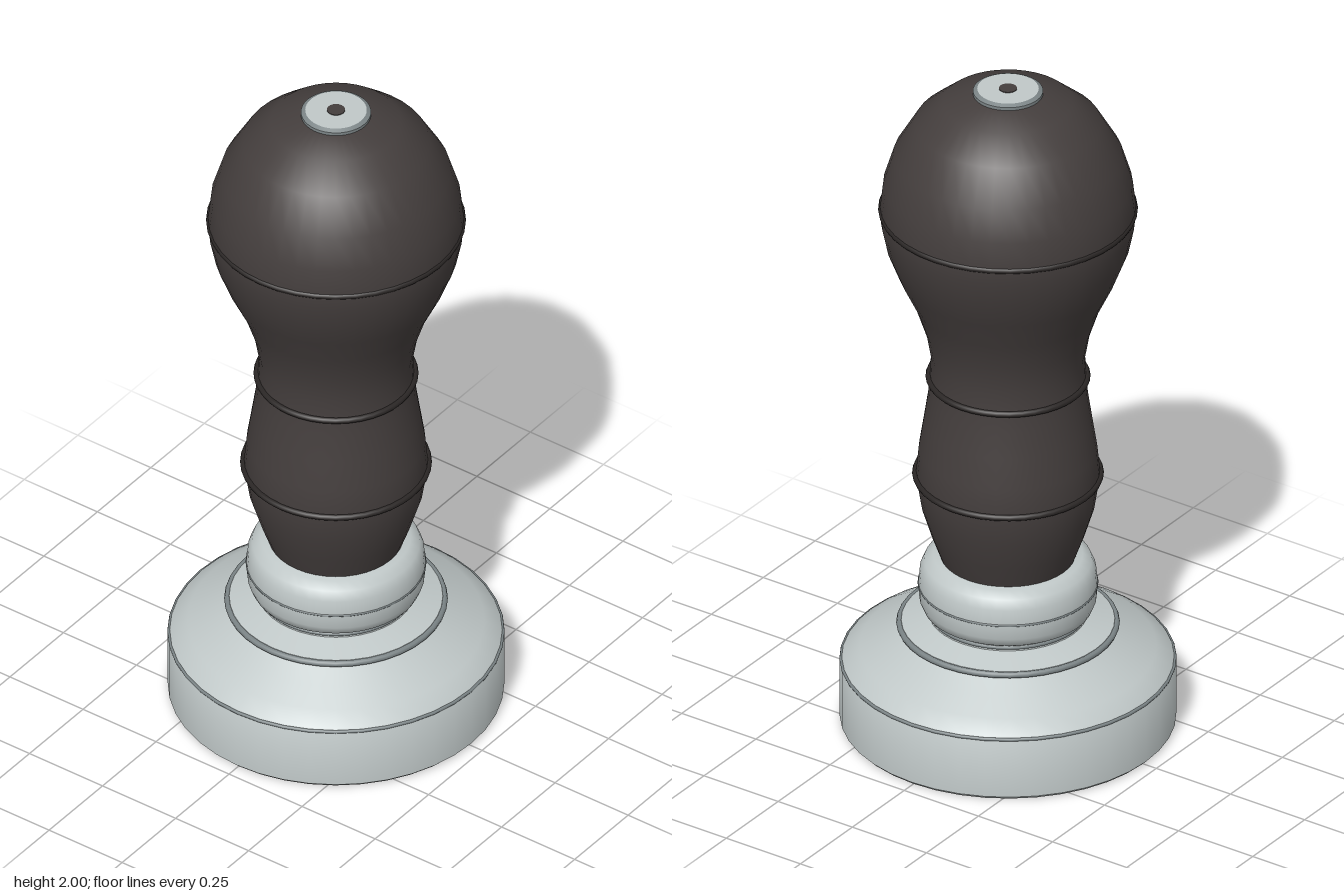
import * as THREE from 'three';
import { toCreasedNormals } from 'three/addons/utils/BufferGeometryUtils.js';

const SEGMENTS = 40;

export function createModel() {
  const model = new THREE.Group();
  model.name = 'tamper';

  const material = (name, color) => {
    const m = new THREE.MeshStandardMaterial({ color });
    m.name = name;
    return m;
  };
  const steel = material('brushed steel', 0xc0c8c8);
  const darkSteel = material('dark steel', 0x7c8587);
  const wood = material('dark handle', 0x443e3d);
  const woodRing = material('handle ring', 0x2b2726);

  // Turned part from a [radius, height] profile, listed bottom to top
  const turn = (name, profile, mat, crease = 0.6) => {
    const points = profile.map(([r, y]) => new THREE.Vector2(r, y));
    const geometry = toCreasedNormals(new THREE.LatheGeometry(points, SEGMENTS), crease);
    const mesh = new THREE.Mesh(geometry, mat);
    mesh.name = name;
    model.add(mesh);
  };

  // Thin bead around the body
  const bead = (name, radius, y, thickness, mat) => {
    const mesh = new THREE.Mesh(new THREE.TorusGeometry(radius, thickness, 8, SEGMENTS), mat);
    mesh.name = name;
    mesh.rotation.x = Math.PI / 2;
    mesh.position.y = y;
    model.add(mesh);
  };

  // Heavy base with sloping shoulder
  turn('base', [
    [0, 0], [0.455, 0], [0.465, 0.01], [0.465, 0.185], [0.457, 0.198],
    [0.41, 0.228], [0.35, 0.264], [0.3, 0.295], [0.295, 0.312], [0.22, 0.335],
    [0.215, 0.355], [0, 0.355],
  ], steel);
  bead('baseEdgeBead', 0.461, 0.19, 0.005, darkSteel);
  bead('shoulderRing', 0.3, 0.304, 0.009, darkSteel);
  bead('neckRing', 0.215, 0.343, 0.006, darkSteel);

  // Rounded collar
  turn('collar', [
    [0, 0.348], [0.215, 0.348], [0.235, 0.36], [0.245, 0.385], [0.248, 0.43],
    [0.244, 0.475], [0.232, 0.503], [0.207, 0.52], [0, 0.52],
  ], steel, 0.8);
  bead('collarBead', 0.246, 0.43, 0.004, darkSteel);

  // Handle: waisted grip running into a rounded knob
  turn('handle', [
    [0, 0.515], [0.185, 0.515], [0.212, 0.59], [0.24, 0.68], [0.255, 0.775],
    [0.247, 0.86], [0.233, 0.95], [0.221, 1.03], [0.216, 1.085], [0.213, 1.15],
    [0.227, 1.23], [0.257, 1.32], [0.3, 1.41], [0.335, 1.5], [0.351, 1.575],
    [0.354, 1.62], [0.345, 1.7], [0.317, 1.79], [0.258, 1.89], [0.18, 1.956],
    [0.09, 1.985], [0, 1.985],
  ], wood, 0.7);
  for (const [name, radius, y] of [
    ['lowerHandleRing', 0.256, 0.778],
    ['middleHandleRing', 0.219, 1.086],
    ['knobRing', 0.35, 1.617],
  ]) bead(name, radius, y, 0.009, woodRing);

  // Cap on top of the knob with a dark centre hole
  turn('capRim', [[0.097, 1.97], [0.097, 1.992], [0.085, 1.998]], darkSteel);
  turn('capFace', [[0.085, 1.998], [0, 1.998]], steel);
  turn('capHole', [[0.025, 1.997], [0.025, 2.0], [0, 2.0]], wood);

  return model;
}
